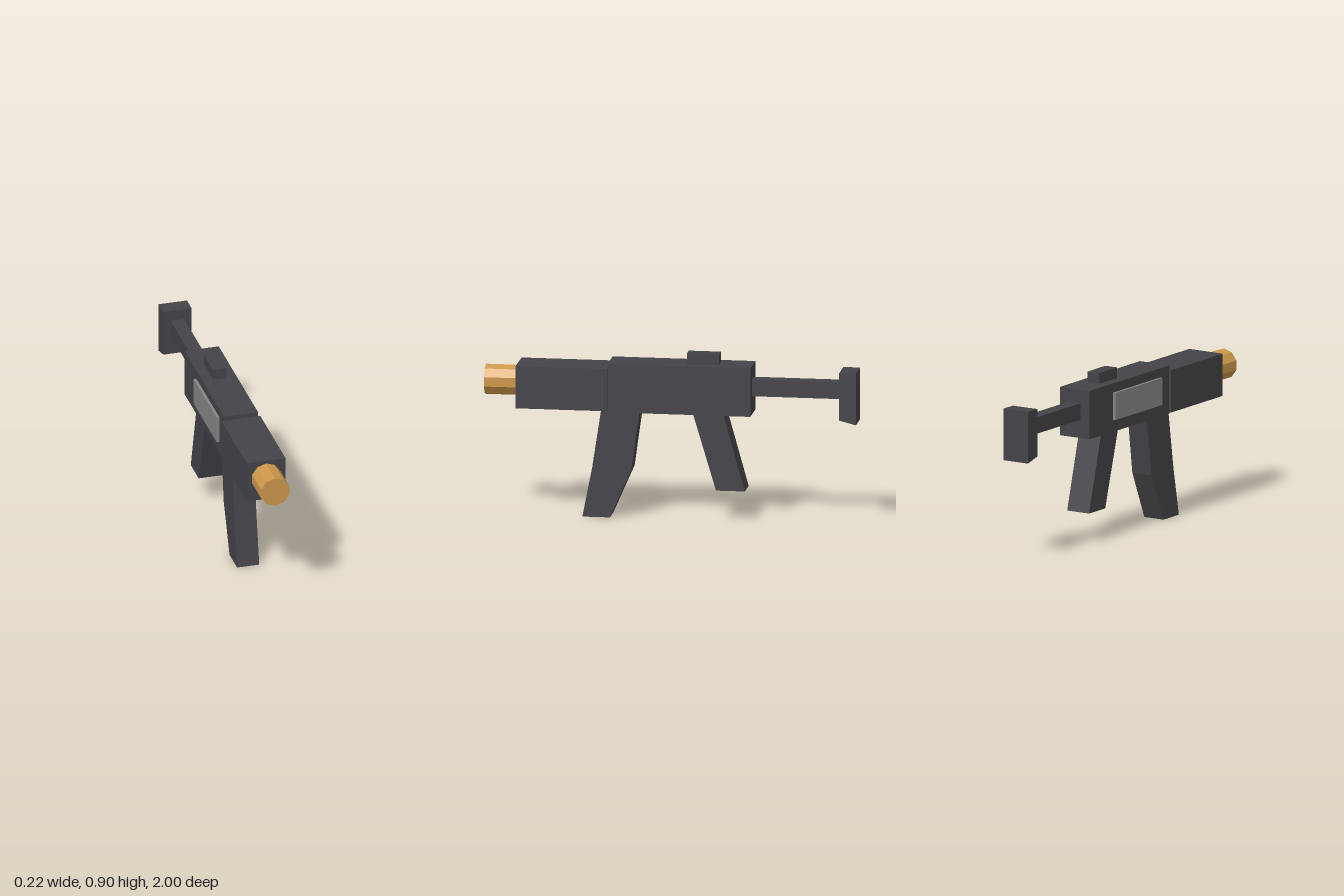
import * as THREE from 'three';

export function createModel() {
  const model = new THREE.Group();
  const charcoal = new THREE.MeshStandardMaterial({ color: 0x444348 });
  charcoal.name = 'charcoal';
  const brass = new THREE.MeshStandardMaterial({ color: 0xcd984b });
  brass.name = 'brass';
  const grey = new THREE.MeshStandardMaterial({ color: 0x858585 });
  grey.name = 'grey';
  for (const m of [charcoal, brass, grey]) m.flatShading = true;

  const add = (name, geometry, material) => {
    const mesh = new THREE.Mesh(geometry, material);
    mesh.name = name;
    model.add(mesh);
    return mesh;
  };

  // Box given by its limits on each axis
  const block = (name, [x0, x1], [y0, y1], [z0, z1], material = charcoal) =>
    add(name, new THREE.BoxGeometry(x1 - x0, y1 - y0, z1 - z0), material)
      .position.set((x0 + x1) / 2, (y0 + y1) / 2, (z0 + z1) / 2);

  // Side profile of [z, y] points, extruded evenly across x
  const slab = (name, halfWidth, points) => {
    const shape = new THREE.Shape(points.map(([z, y]) => new THREE.Vector2(z, y)));
    const geometry = new THREE.ExtrudeGeometry(shape, { depth: halfWidth * 2, bevelEnabled: false });
    geometry.translate(0, 0, -halfWidth).rotateY(-Math.PI / 2);
    add(name, geometry, charcoal);
  };

  // Body
  block('receiver', [-0.094, 0.094], [0.58, 0.843], [-0.435, 0.333]);
  block('handguard', [-0.107, 0.107], [0.588, 0.818], [0.33, 0.825]);
  block('rearSight', [-0.037, 0.037], [0.84, 0.901], [-0.257, -0.085]);
  block('sidePanel', [-0.109, -0.09], [0.645, 0.793], [-0.208, 0.243], grey);

  // Ten-sided muzzle, with a corner at the top
  const muzzle = new THREE.CylinderGeometry(0.082, 0.082, 0.18, 10).rotateX(Math.PI / 2);
  add('muzzle', muzzle, brass).position.set(0, 0.72, 0.91);

  // Stock
  block('stockRod', [-0.037, 0.037], [0.68, 0.77], [-0.915, -0.43]);
  slab('buttPlate', 0.078, [[-0.91, 0.83], [-1, 0.83], [-1, 0.549], [-0.91, 0.572]]);

  // Parts hanging below the receiver
  slab('magazine', 0.061, [
    [0.372, 0.585], [0.165, 0.585], [0.21, 0.262], [0.325, 0], [0.473, 0], [0.42, 0.27],
  ]);
  slab('grip', 0.07, [[-0.122, 0.585], [-0.285, 0.585], [-0.402, 0.167], [-0.247, 0.167]]);

  return model;
}
